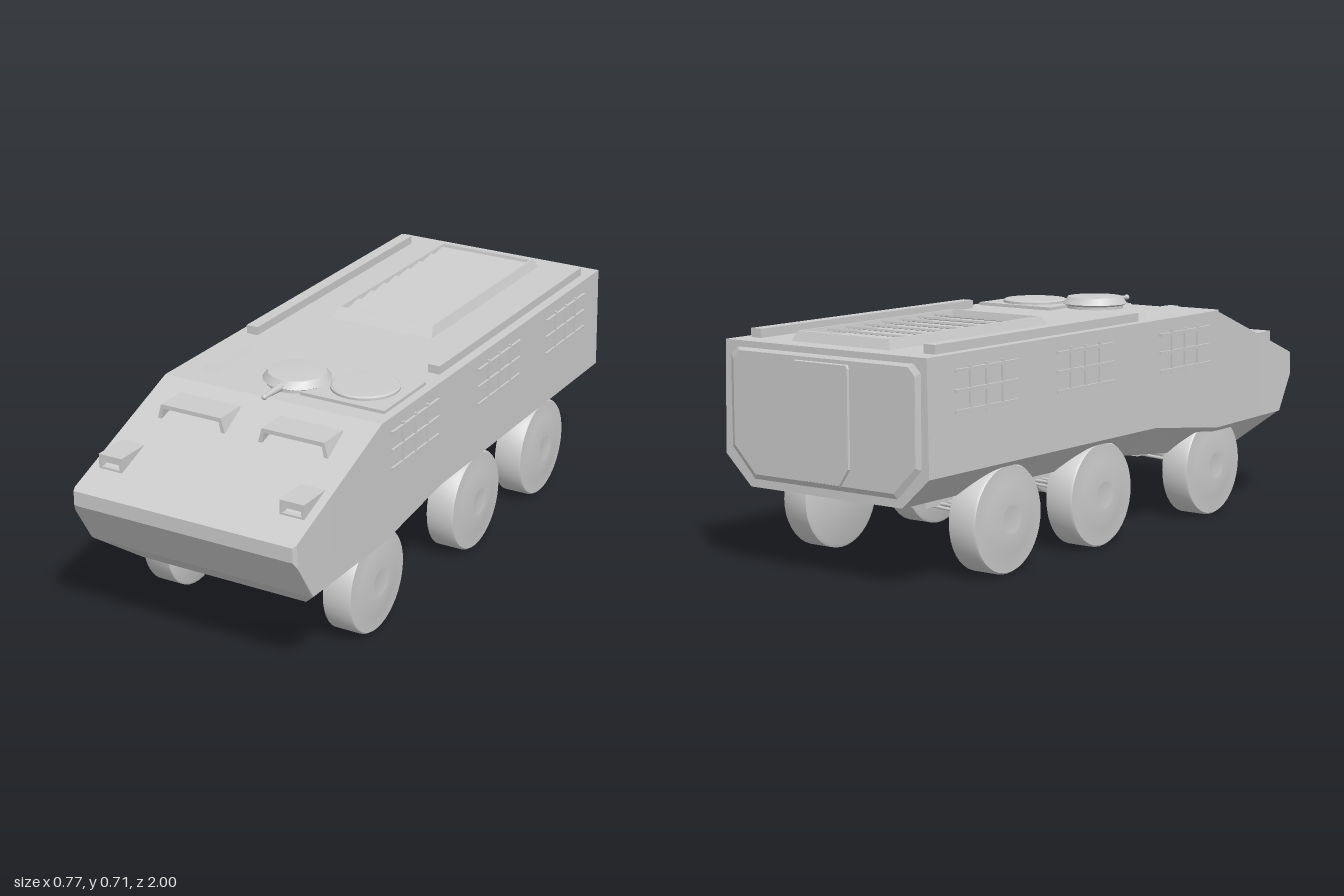
import * as THREE from 'three';
import { toCreasedNormals } from 'three/addons/utils/BufferGeometryUtils.js';

const mat = new THREE.MeshStandardMaterial({ color: 0xcccccc, side: THREE.DoubleSide });

// Joins rings of [x, y, z] corners into a flat-shaded closed solid
function loft(rings) {
  const pos = [];
  const tri = (a, b, c) => pos.push(...a, ...b, ...c);
  const n = rings[0].length;
  for (let i = 0; i < rings.length - 1; i++) {
    for (let j = 0; j < n; j++) {
      const k = (j + 1) % n, p = rings[i], q = rings[i + 1];
      tri(p[j], p[k], q[k]);
      tri(p[j], q[k], q[j]);
    }
  }
  const first = rings[0], last = rings[rings.length - 1];
  for (let j = 1; j < n - 1; j++) {
    tri(first[0], first[j + 1], first[j]);
    tri(last[0], last[j], last[j + 1]);
  }
  const g = new THREE.BufferGeometry();
  g.setAttribute('position', new THREE.Float32BufferAttribute(pos, 3));
  g.computeVertexNormals();
  return g;
}

// Mirrored cross-section from right-hand [x, y] points, top to bottom
const section = (z, pts) => [
  ...pts.map(([x, y]) => [x, y, z]),
  ...[...pts].reverse().map(([x, y]) => [-x, y, z]),
];

// Horizontal rectangle at height y
const rect = (y, x0, x1, z0, z1) => [[x0, y, z0], [x1, y, z0], [x1, y, z1], [x0, y, z1]];

const polygon = (pts) => new THREE.Shape(pts.map(([x, y]) => new THREE.Vector2(x, y)));

function add(parent, name, geometry, x = 0, y = 0, z = 0) {
  const m = new THREE.Mesh(geometry, mat);
  m.name = name;
  m.position.set(x, y, z);
  parent.add(m);
  return m;
}

// Box given by its limits
const block = (parent, name, x0, x1, y0, y1, z0, z1) =>
  add(parent, name, new THREE.BoxGeometry(x1 - x0, y1 - y0, z1 - z0), (x0 + x1) / 2, (y0 + y1) / 2, (z0 + z1) / 2);

// Round part turned from [radius, height] points
const turned = (pts, sides, crease = 0.5) =>
  toCreasedNormals(new THREE.LatheGeometry(pts.map(([r, y]) => new THREE.Vector2(r, y)), sides), crease);

function rod(parent, name, a, b, r) {
  const p = new THREE.Vector3(...a), q = new THREE.Vector3(...b);
  const m = add(parent, name, new THREE.CylinderGeometry(r, r, p.distanceTo(q), 8));
  m.position.copy(p).add(q).multiplyScalar(0.5);
  m.quaternion.setFromUnitVectors(new THREE.Vector3(0, 1, 0), q.sub(p).normalize());
}

function buildHull(g) {
  // z, top y, chine x, chine y, bottom x, bottom y
  const rows = [
    [1, 0.485, 0.37, 0.44, 0.36, 0.439],
    [0.985, 0.491, 0.379, 0.416, 0.37, 0.415],
    [0.91, 0.52, 0.382, 0.297, 0.375, 0.294],
    [0.79, 0.566, 0.382, 0.295, 0.285, 0.2],
    [0.51, 0.673, 0.382, 0.29, 0.285, 0.2],
    [0.15, 0.673, 0.382, 0.335, 0.285, 0.238],
    [0.08, 0.673, 0.382, 0.335, 0.285, 0.245],
    [-0.985, 0.673, 0.382, 0.335, 0.285, 0.245],
  ];
  add(g, 'hull', loft(rows.map(([z, yt, xc, yc, xb, yb], i) =>
    section(z, [[i ? 0.376 : 0.37, yt], [xc, yc], [xb, yb]]))));

  // Rear plate with bevelled rim, and rear door
  add(g, 'rearPlate', loft([
    section(-0.98, [[0.34, 0.66], [0.365, 0.635], [0.365, 0.355], [0.275, 0.26]]),
    section(-0.993, [[0.315, 0.645], [0.34, 0.62], [0.34, 0.365], [0.26, 0.285]]),
  ]));
  add(g, 'rearDoor', loft([
    section(-0.99, [[0.1, 0.635], [0.104, 0.625], [0.104, 0.335], [0.07, 0.285]]),
    section(-1, [[0.097, 0.632], [0.101, 0.622], [0.101, 0.337], [0.068, 0.288]]),
  ]));
}

function buildRoof(g) {
  // Engine grille: bevelled frame, sunken floor and slanted slats
  const grille = new THREE.Group();
  grille.name = 'engineGrille';
  g.add(grille);
  add(grille, 'grilleFrame', loft([
    rect(0.678, -0.16, 0.16, -0.88, -0.19),
    rect(0.703, -0.165, 0.165, -0.885, -0.185),
    rect(0.703, -0.172, 0.172, -0.9, -0.178),
    rect(0.67, -0.185, 0.185, -0.913, -0.145),
  ]));
  for (let i = 0; i < 8; i++) {
    const slat = add(grille, 'grilleSlat', new THREE.BoxGeometry(0.32, 0.006, 0.085), 0, 0.689, -0.825 + i * 0.083);
    slat.rotation.x = 0.16;
  }

  // Long roof rails
  for (const s of [-1, 1]) block(g, 'roofRail', s * 0.325 - 0.02, s * 0.325 + 0.02, 0.665, 0.7, -0.91, 0.1);

  // Raised wedge on the right of the roof
  add(g, 'roofWedge', loft([
    rect(0.692, -0.287, -0.257, 0.225, 0.415),
    rect(0.67, -0.302, -0.242, 0.205, 0.43),
  ]));

  // Commander's hatch on a square plate
  block(g, 'hatchPlate', 0.06, 0.347, 0.665, 0.683, 0.19, 0.445);
  add(g, 'roundHatch', turned([[0, 0.696], [0.1, 0.694], [0.106, 0.69], [0.106, 0.68], [0, 0.68]], 32), 0.21, 0, 0.315);

  // Small domed cupola with gun
  add(g, 'cupola', turned([[0, 0.714], [0.05, 0.713], [0.09, 0.71], [0.106, 0.688], [0.094, 0.682], [0.094, 0.668], [0, 0.668]], 16), 0, 0, 0.36);
  const gun = add(g, 'gunBarrel', new THREE.CylinderGeometry(0.006, 0.013, 0.1, 12), 0, 0.691, 0.5);
  gun.rotation.x = Math.PI / 2;
  add(g, 'gunMuzzle', new THREE.SphereGeometry(0.009, 12, 8), 0, 0.691, 0.546);
}

function buildFrontFittings(g) {
  for (const s of [-1, 1]) {
    // Driver's vision hood, open to the front
    const hood = polygon([[-0.119, 0.605], [-0.105, 0.656], [0.105, 0.656], [0.119, 0.605],
      [0.105, 0.605], [0.097, 0.643], [-0.097, 0.643], [-0.105, 0.605]]);
    add(g, 'visionHood', new THREE.ExtrudeGeometry(hood, { depth: 0.105, bevelEnabled: false }), s * 0.175, 0, 0.57);

    // Headlight box with recessed lamp
    const frame = polygon([[-0.04, 0.523], [0.04, 0.523], [0.04, 0.569], [-0.04, 0.569]]);
    frame.holes.push(polygon([[-0.031, 0.53], [-0.031, 0.563], [0.031, 0.563], [0.031, 0.53]]));
    add(g, 'headlightBox', new THREE.ExtrudeGeometry(frame, { depth: 0.12, bevelEnabled: false }), s * 0.308, 0, 0.78);
    block(g, 'headlight', s * 0.308 - 0.032, s * 0.308 + 0.032, 0.53, 0.564, 0.79, 0.875);
  }
}

function buildSideRacks(g) {
  for (const s of [-1, 1]) {
    for (const z of [-0.72, -0.235, 0.315]) {
      const rack = new THREE.Group();
      rack.name = 'sideRack';
      g.add(rack);
      for (const y of [0.51, 0.568, 0.625]) block(rack, 'rackRail', s * 0.379 - 0.006, s * 0.379 + 0.006, y - 0.005, y + 0.005, z - 0.145, z + 0.145);
      for (const dz of [-0.075, 0, 0.075]) block(rack, 'rackPost', s * 0.378 - 0.005, s * 0.378 + 0.005, 0.5, 0.637, z + dz - 0.005, z + dz + 0.005);
    }
  }
}

function buildRunningGear(g) {
  // Flat inner face, straight tread and shallow conical hub
  const wheel = turned([[0, -0.048], [0.155, -0.048], [0.163, -0.044], [0.163, 0.04], [0.158, 0.047],
    [0.105, 0.049], [0.045, 0.061], [0.04, 0.06], [0, 0.06]].reverse(), 40, 0.9);
  for (const [z, floor] of [[0.515, 0.21], [-0.125, 0.255], [-0.6, 0.255]]) {
    const axle = new THREE.Group();
    axle.name = 'axle';
    g.add(axle);
    block(axle, 'axleHousing', -0.13, 0.13, 0.18, floor, z - 0.09, z + 0.09);
    block(axle, 'axleSump', -0.06, 0.06, 0.172, 0.182, z - 0.065, z + 0.065);
    block(axle, 'axleCrossPlate', -0.115, 0.115, 0.175, 0.182, z - 0.03, z + 0.03);
    for (const s of [-1, 1]) {
      for (const dz of [-0.018, 0.018]) {
        rod(axle, 'lowerArm', [s * 0.055, 0.177, z + dz], [s * 0.29, 0.163, z + dz], 0.005);
        rod(axle, 'upperArm', [s * 0.12, 0.184, z + dz], [s * 0.29, 0.181, z + dz], 0.005);
      }
      const w = add(axle, 'wheel', wheel, s * 0.318, 0.163, z);
      w.rotation.z = -s * Math.PI / 2;
    }
  }
}

export function createModel() {
  const g = new THREE.Group();
  g.name = 'armouredCarrier';
  buildHull(g);
  buildRoof(g);
  buildFrontFittings(g);
  buildSideRacks(g);
  buildRunningGear(g);
  return g;
}
